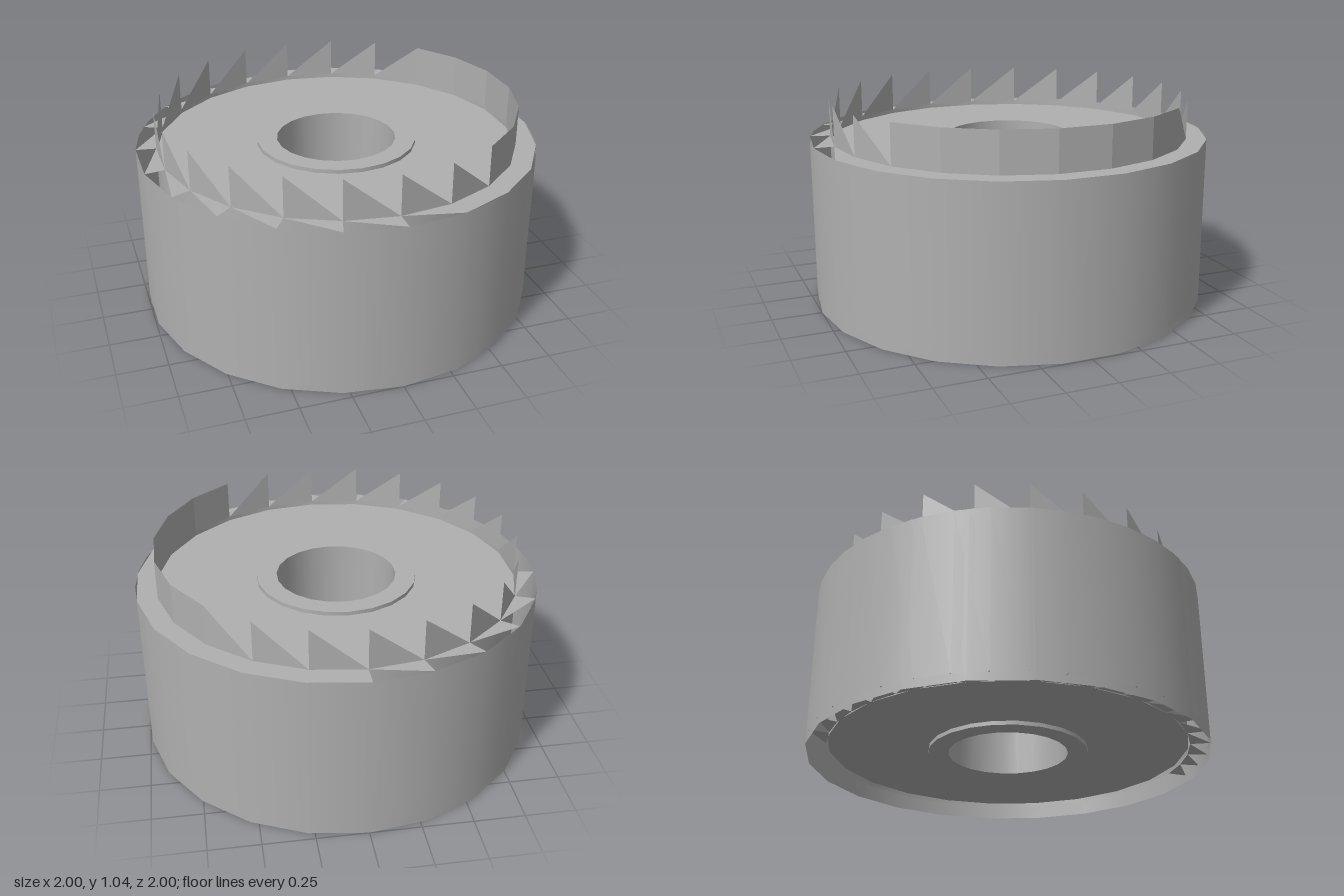
import * as THREE from 'three';

const SIDES = 22, FINE = 38;
const INNER = 0.9, OUTER = 1, TOP = 0.84, BOTTOM = 0.04, CROWN = 1.04;

export function createModel() {
  const model = new THREE.Group();
  const grey = new THREE.MeshStandardMaterial({ color: 0xb0b0b0, side: THREE.DoubleSide });
  grey.name = 'lightGrey';

  const add = (name, geometry) => {
    const mesh = new THREE.Mesh(geometry, grey);
    mesh.name = name;
    model.add(mesh);
  };

  // One revolved surface between two profile points, smooth around and sharp at its ends
  const band = (name, r0, y0, r1, y1, sides = SIDES, start = 0) =>
    add(name, new THREE.LatheGeometry(
      [new THREE.Vector2(r0, y0), new THREE.Vector2(r1, y1)], sides, start));

  const at = (r, y, angle) => [r * Math.sin(angle), y, r * Math.cos(angle)];

  // Collects the triangles returned for each step round the circle
  const around = (name, sides, offset, triangles) => {
    const positions = [];
    const step = (Math.PI * 2) / sides;
    for (let k = 0; k < sides; k++) {
      for (const corner of triangles(k, (k + offset) * step, (k + 1 + offset) * step)) {
        positions.push(...corner);
      }
    }
    const geometry = new THREE.BufferGeometry();
    geometry.setAttribute('position', new THREE.Float32BufferAttribute(positions, 3));
    geometry.computeVertexNormals();
    add(name, geometry);
  };

  // Outer drum: a fine shell over a coarser one that reaches the ground
  band('outerShell', OUTER, BOTTOM, OUTER, TOP, FINE, Math.PI / FINE);
  band('lowerShell', OUTER, 0, OUTER, TOP);

  // Core: recessed faces, rim wall and raised hub with a bore
  band('rimWall', INNER, BOTTOM, INNER, TOP);
  band('topFace', INNER, 0.82, 0.4, 0.82);
  band('bottomFace', 0.4, 0.06, INNER, 0.06);
  band('hubTopEdge', 0.4, 0.82, 0.4, TOP);
  band('hubTop', 0.4, TOP, 0.3, TOP);
  band('hubBottomEdge', 0.4, BOTTOM, 0.4, 0.06);
  band('hubBottom', 0.3, BOTTOM, 0.4, BOTTOM);
  band('bore', 0.3, TOP, 0.3, BOTTOM);

  // Crown: solid wall on one side, saw teeth on the rest
  around('crown', SIDES, 0, (k, a, b) => {
    const corners = [at(INNER, TOP, a), at(INNER, TOP, b), at(INNER, CROWN, a)];
    if (k >= 2 && k < 8) {
      corners.push(at(INNER, TOP, b), at(INNER, CROWN, b), at(INNER, CROWN, a));
    }
    return corners;
  });

  // Top ring: solid half and toothed half
  around('topRing', SIDES, 0, (k, a, b) => {
    const corners = [at(INNER, TOP, a), at(OUTER, TOP, b), at(INNER, TOP, b)];
    if (k >= 1 && k < 11) {
      corners.push(at(INNER, TOP, a), at(OUTER, TOP, a), at(OUTER, TOP, b));
    }
    return corners;
  });

  // Bottom ring: fine teeth on one half only
  around('bottomTeeth', FINE, -0.5, (k, a, b) =>
    k === 0 || k >= 19
      ? [at(INNER, BOTTOM, a), at(INNER, BOTTOM, b), at(OUTER, BOTTOM, b)]
      : []);

  return model;
}
